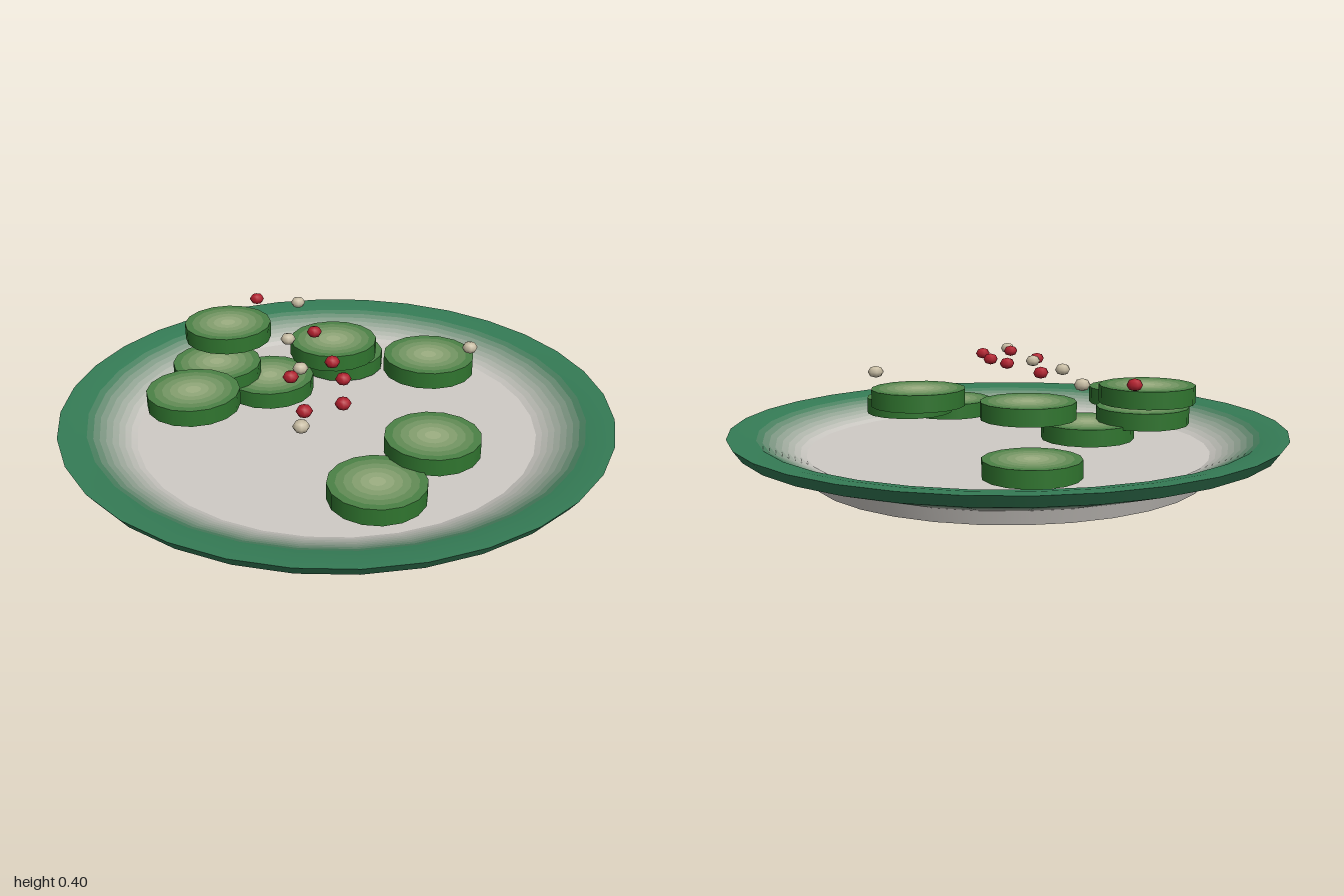
import * as THREE from 'three';

const GREEN = 0x357c56, GREY = 0xcfcbc6;

// One lathed band of a single colour; points run [radius, height]
function band(name, points, color, sides) {
  const geo = new THREE.LatheGeometry(points.map(([r, y]) => new THREE.Vector2(r, y)), sides);
  const mesh = new THREE.Mesh(geo, new THREE.MeshStandardMaterial({ color }));
  mesh.name = name;
  return mesh;
}

// A sloping surface split into thin bands that fade between two colours
function fade(name, a, b, colorA, colorB, steps, sides) {
  const group = new THREE.Group();
  group.name = name;
  const at = t => [a[0] + (b[0] - a[0]) * t, a[1] + (b[1] - a[1]) * t];
  for (let i = 0; i < steps; i++) {
    const tint = new THREE.Color(colorA).lerp(new THREE.Color(colorB), (i + 0.5) / steps);
    group.add(band(name + 'Band', [at(i / steps), at((i + 1) / steps)], tint, sides));
  }
  return group;
}

function makePlate() {
  const plate = new THREE.Group();
  plate.name = 'plate';
  const n = 32;
  plate.add(
    band('base', [[0, 0], [0.72, 0]], GREY, n),
    band('foot', [[0.72, 0], [0.74, 0.05]], GREY, n),
    fade('underside', [0.74, 0.05], [0.97, 0.125], GREY, GREEN, 8, n),
    band('rimEdge', [[0.97, 0.125], [1, 0.167]], GREEN, n),
    band('rim', [[1, 0.167], [0.95, 0.166], [0.9, 0.158]], GREEN, n),
    fade('innerWall', [0.9, 0.158], [0.73, 0.085], GREEN, GREY, 8, n),
    band('floor', [[0.73, 0.085], [0, 0.085]], GREY, n)
  );
  return plate;
}

// Slice with a dark skin and a pale centre on both faces
function makeSlice(x, top, z) {
  const slice = new THREE.Group();
  slice.name = 'slice';
  const R = 0.165, h = 0.06, n = 16, skin = 0x3b7c3c, core = 0xa3b487;
  slice.add(
    fade('sliceBottom', [0, -h], [R, -h], core, skin, 6, n),
    band('sliceSkin', [[R, -h], [R, 0]], 0x30752f, n),
    fade('sliceTop', [R, 0], [0, 0], skin, core, 6, n)
  );
  slice.position.set(x, top, z);
  return slice;
}

export function createModel() {
  const model = new THREE.Group();
  model.name = 'plateOfSlices';
  model.add(makePlate());

  // Slices as [x, z], each a little higher than the one before
  const slices = [
    [0.385, -0.305], [-0.33, 0.46], [-0.04, -0.3], [-0.045, 0.468], [-0.16, -0.46],
    [-0.41, -0.315], [0.2, -0.19], [0.285, 0.2], [-0.035, -0.525]
  ];
  slices.forEach(([x, z], i) => model.add(makeSlice(x, 0.152 + i * 0.025, z)));

  // Peppercorns sprinkled over the top
  const cornGeo = new THREE.SphereGeometry(0.028, 8, 4).scale(1, 0.75, 1);
  const corns = {
    redPeppercorn: [0xb0202e, [[0.16, -0.56], [0.07, -0.17], [-0.26, 0.02], [-0.08, 0.05],
      [-0.155, 0.165], [-0.41, 0.22], [-0.29, 0.28]]],
    palePeppercorn: [0xc8bda4, [[0.24, -0.41], [-0.04, -0.2], [-0.19, 0], [-0.49, 0.28], [0.335, 0.345]]]
  };
  for (const [name, [color, spots]] of Object.entries(corns)) {
    const material = new THREE.MeshStandardMaterial({ color });
    for (const [x, z] of spots) {
      const corn = new THREE.Mesh(cornGeo, material);
      corn.name = name;
      corn.position.set(x, 0.38, z);
      model.add(corn);
    }
  }
  return model;
}
